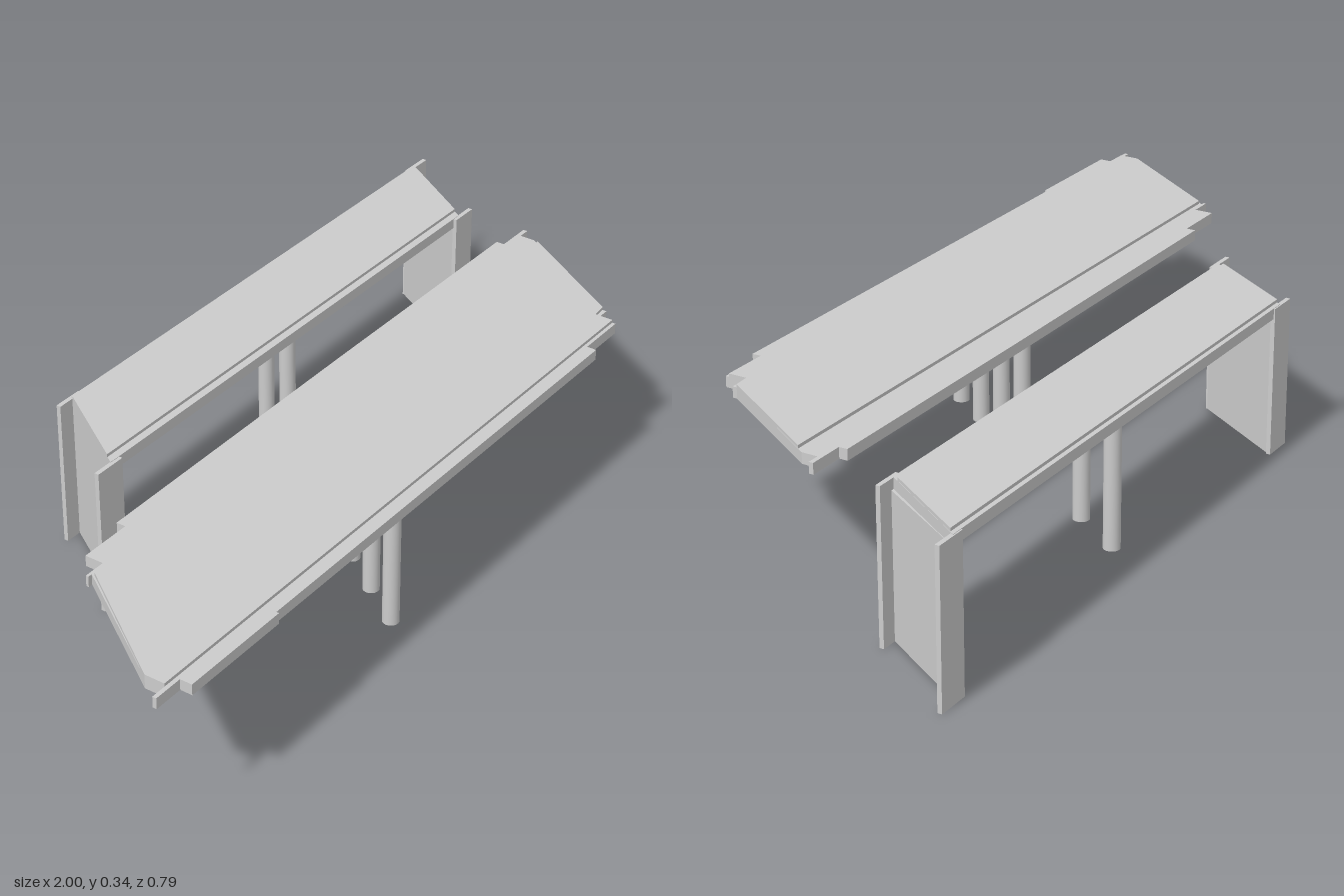
import * as THREE from 'three';

const material = new THREE.MeshStandardMaterial({ color: 0xcccccc, flatShading: true });
const columnMaterial = new THREE.MeshStandardMaterial({ color: 0xcccccc });

// Extrudes a plan outline of [x, z] points upward from y0 to y1
function slab(name, outline, y0, y1) {
  const shape = new THREE.Shape(outline.map(([x, z]) => new THREE.Vector2(x, -z)));
  const geometry = new THREE.ExtrudeGeometry(shape, { depth: y1 - y0, bevelEnabled: false });
  geometry.rotateX(-Math.PI / 2);
  geometry.translate(0, y0, 0);
  const mesh = new THREE.Mesh(geometry, material);
  mesh.name = name;
  return mesh;
}

// Four-sided skewed plan: back edge xa..xb at z0, front edge xc..xd at z1
const skewed = (xa, xb, z0, xc, xd, z1) => [[xa, z0], [xb, z0], [xd, z1], [xc, z1]];

export function createModel() {
  const model = new THREE.Group();
  const deckBottom = 0.312, kerbTop = 0.336, roadTop = 0.343;

  // Wide deck with stepped edges and a raised road surface
  const wideDeck = new THREE.Group();
  wideDeck.name = 'wideDeck';
  wideDeck.add(slab('wideDeckSlab', [
    [-0.615, -0.031], [0.15, -0.035], [0.755, -0.035], [0.755, -0.016], [0.838, -0.016],
    [0.838, -0.006], [0.81, -0.006], [0.81, 0.03], [0.63, 0.315], [0.63, 0.325],
    [0.595, 0.325], [0.595, 0.368], [0.477, 0.368], [0.477, 0.39], [-0.67, 0.39],
    [-0.67, 0.396], [-0.932, 0.396], [-0.932, 0.369], [-1, 0.369], [-1, 0.36],
    [-0.965, 0.36], [-0.965, 0.315], [-0.775, 0.038], [-0.785, 0.038], [-0.785, 0.032],
    [-0.735, 0.032], [-0.735, -0.01], [-0.615, -0.01],
  ], deckBottom, kerbTop));
  wideDeck.add(slab('wideRoadSurface', [
    [-0.775, 0.045], [0.8, 0.045], [0.63, 0.315], [0.595, 0.318], [0.595, 0.36],
    [-0.965, 0.36], [-0.965, 0.315],
  ], kerbTop, roadTop));
  model.add(wideDeck);

  // Narrow deck
  const narrowDeck = new THREE.Group();
  narrowDeck.name = 'narrowDeck';
  narrowDeck.add(slab('narrowDeckSlab',
    skewed(-0.312, 0.952, -0.396, -0.457, 0.81, -0.174), deckBottom, kerbTop));
  narrowDeck.add(slab('narrowRoadSurface',
    skewed(-0.319, 0.945, -0.386, -0.447, 0.82, -0.191), kerbTop, roadTop));
  model.add(narrowDeck);

  // Skewed abutment walls with thin wing walls pointing away from the span
  for (const side of [
    { name: 'rightAbutment', wall: [-0.312, -0.285, -0.396, -0.457, -0.43, -0.17],
      front: [-0.505, -0.43], back: [-0.355, -0.285] },
    { name: 'leftAbutment', wall: [0.925, 0.952, -0.396, 0.79, 0.815, -0.17],
      front: [0.79, 0.855], back: [0.925, 1] },
  ]) {
    const abutment = new THREE.Group();
    abutment.name = side.name;
    abutment.add(slab('abutmentWall', skewed(...side.wall), 0, deckBottom));
    const [f0, f1] = side.front, [b0, b1] = side.back;
    abutment.add(slab('frontWing', skewed(f0, f1, -0.176, f0, f1, -0.166), 0, 0.335));
    abutment.add(slab('backWing', skewed(b0, b1, -0.399, b0, b1, -0.389), 0, 0.335));
    model.add(abutment);
  }

  // Row of round piers along the skew line
  const pierGeometry = new THREE.CylinderGeometry(0.018, 0.018, deckBottom, 24);
  for (const [x, z] of [[-0.192, 0.325], [-0.123, 0.229], [-0.054, 0.133], [0.016, 0.038],
    [0.19, -0.21], [0.273, -0.329]]) {
    const pier = new THREE.Mesh(pierGeometry, columnMaterial);
    pier.name = 'pier';
    pier.position.set(x, deckBottom / 2, z);
    model.add(pier);
  }
  return model;
}
